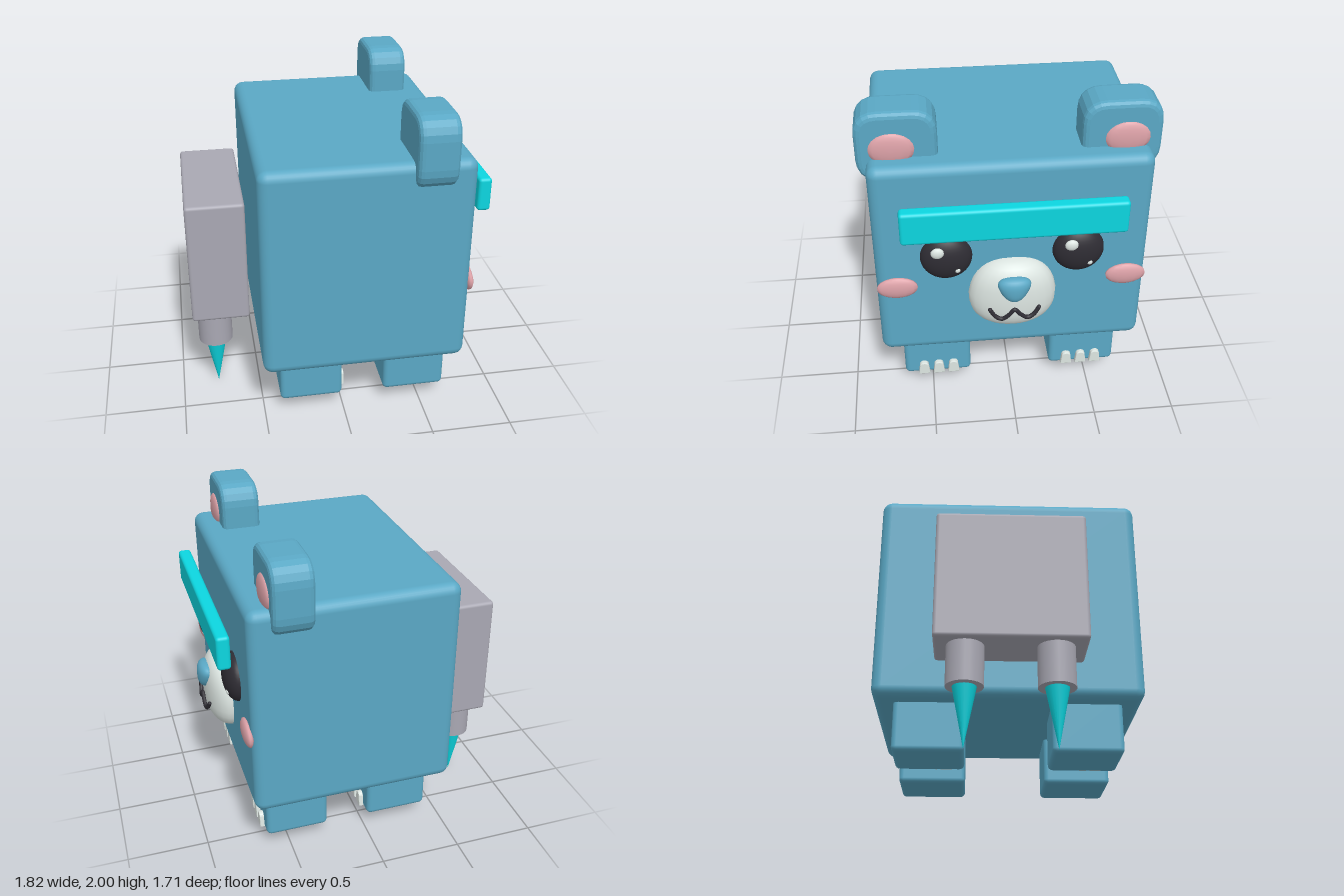
import * as THREE from 'three';
import { RoundedBoxGeometry } from 'three/addons/geometries/RoundedBoxGeometry.js';

const mat = (name, color) => {
  const m = new THREE.MeshStandardMaterial({ color });
  m.name = name;
  return m;
};

export function createModel() {
  const blue = mat('blue fur', 0x5aa8c5);
  const pink = mat('pink', 0xdda2a8);
  const black = mat('black', 0x2e2c33);
  const cream = mat('cream', 0xdde6e2);
  const gray = mat('gray metal', 0xa9a8b3);
  const cyan = mat('cyan glow', 0x0cd6e0);

  const root = new THREE.Group();
  root.name = 'cubeBear';

  const add = (name, geometry, material, x = 0, y = 0, z = 0) => {
    const mesh = new THREE.Mesh(geometry, material);
    mesh.name = name;
    mesh.position.set(x, y, z);
    root.add(mesh);
    return mesh;
  };
  // Rounded box from its minimum and maximum corners
  const box = (name, material, [x0, y0, z0], [x1, y1, z1], radius) =>
    add(name, new RoundedBoxGeometry(x1 - x0, y1 - y0, z1 - z0, 3, radius), material,
      (x0 + x1) / 2, (y0 + y1) / 2, (z0 + z1) / 2);
  const ellipsoid = (name, material, x, y, z, rx, ry, rz, seg = 16) =>
    add(name, new THREE.SphereGeometry(1, seg, Math.round(seg * 0.7)).scale(rx, ry, rz), material, x, y, z);
  // Squared-off sphere: powers below 1 push the surface outward
  const blob = (rx, ry, rz, power, rule) => {
    const g = new THREE.SphereGeometry(1, 24, 16);
    const p = g.attributes.position;
    const f = (v) => Math.sign(v) * Math.abs(v) ** power;
    for (let i = 0; i < p.count; i++) {
      const y = f(p.getY(i));
      const r = Math.hypot(p.getX(i), p.getZ(i));
      const ring = r > 1e-5 ? r ** power / r : 0;
      const w = rule(y);
      p.setXYZ(i, p.getX(i) * ring * rx, y * ry, p.getZ(i) * ring * rz * w);
    }
    g.computeVertexNormals();
    return g;
  };

  // Body
  box('body', blue, [-0.51, 0.4, -0.8], [0.735, 1.728, 0.8], 0.06);

  // Ear outline: rounded rectangle, extruded along x
  const earShape = new THREE.Shape();
  const w = 0.1925, h = 0.18, r = 0.1;
  earShape.moveTo(-w + r, -h);
  earShape.lineTo(w - r, -h).quadraticCurveTo(w, -h, w, -h + r);
  earShape.lineTo(w, h - r).quadraticCurveTo(w, h, w - r, h);
  earShape.lineTo(-w + r, h).quadraticCurveTo(-w, h, -w, h - r);
  earShape.lineTo(-w, -h + r).quadraticCurveTo(-w, -h, -w + r, -h);
  const earGeo = new THREE.ExtrudeGeometry(earShape, {
    depth: 0.17, bevelThickness: 0.035, bevelSize: 0.035, bevelSegments: 3, curveSegments: 5,
  }).translate(0, 0, -0.085).rotateY(Math.PI / 2);

  // Claw outline: narrow dome
  const clawShape = new THREE.Shape();
  clawShape.moveTo(-0.03, -0.04).lineTo(0.03, -0.04).lineTo(0.022, 0.025);
  clawShape.quadraticCurveTo(0.018, 0.04, 0, 0.04).quadraticCurveTo(-0.018, 0.04, -0.022, 0.025);
  const clawGeo = new THREE.ExtrudeGeometry(clawShape, {
    depth: 0.04, bevelThickness: 0.006, bevelSize: 0.006, bevelSegments: 2, curveSegments: 4,
  }).translate(0, 0, -0.02).rotateY(Math.PI / 2);

  for (const [side, s] of [['left', 1], ['right', -1]]) {
    // Ears
    add(side + 'Ear', earGeo, blue, 0.485, 1.785, s * 0.6275);
    ellipsoid(side + 'InnerEar', pink, 0.602, 1.78, s * 0.655, 0.03, 0.1, 0.13, 14);

    // Legs with three claws each
    for (const [end, x] of [['Front', 0.453], ['Back', -0.205]]) {
      add(side + end + 'Leg', new RoundedBoxGeometry(0.39, 0.36, 0.42, 3, 0.03), blue, x, 0.285, s * 0.465);
      for (let i = -1; i <= 1; i++) {
        add(side + end + 'Claw', clawGeo, cream, x + 0.196, 0.163, s * 0.46 + i * 0.094);
      }
    }

    // Eyes, each with two highlights on the same side
    const ez = s * 0.385;
    ellipsoid(side + 'Eye', black, 0.732, 1.125, ez, 0.083, 0.152, 0.152, 28);
    ellipsoid(side + 'EyeHighlight', cream, 0.798, 1.195, ez + 0.05, 0.02, 0.036, 0.04, 12);
    ellipsoid(side + 'EyeGlint', cream, 0.797, 1.063, ez - 0.061, 0.01, 0.017, 0.017, 10);

    // Cheeks
    ellipsoid(side + 'Cheek', pink, 0.743, 0.915, s * 0.678, 0.03, 0.073, 0.122, 14);

    // Jetpack nozzles and flames
    add(side + 'Nozzle', new THREE.CylinderGeometry(0.108, 0.108, 0.27, 24), gray, -0.77, 0.485, s * 0.255);
    add(side + 'Flame', new THREE.ConeGeometry(0.071, 0.36, 20).rotateX(Math.PI), cyan, -0.77, 0.18, s * 0.255);
  }

  // Muzzle: wide jaw, narrower top
  add('muzzle', blob(0.138, 0.238, 0.262, 0.75, (y) => 1 - 0.14 * Math.max(0, y)), cream, 0.732, 0.847, 0);
  // Nose: wide at the top, tapering downward
  add('nose', blob(0.055, 0.083, 0.113, 0.8, (y) => 0.78 + 0.3 * y), blue, 0.852, 0.942, 0);

  // Mouth
  const half = [[0.866, 0.805, 0.145], [0.875, 0.758, 0.112], [0.88, 0.742, 0.075], [0.882, 0.77, 0.035]];
  const points = [
    ...half,
    [0.882, 0.808, 0],
    ...half.slice().reverse().map(([x, y, z]) => [x, y, -z]),
  ].map((p) => new THREE.Vector3(...p));
  add('mouth', new THREE.TubeGeometry(new THREE.CatmullRomCurve3(points), 48, 0.013, 8), black);
  for (const end of [points[0], points[points.length - 1]]) {
    ellipsoid('mouthCorner', black, end.x, end.y, end.z, 0.013, 0.013, 0.013, 8);
  }

  // Visor bar floating before the brow
  box('visor', cyan, [0.797, 1.32, -0.637], [0.876, 1.528, 0.637], 0.02);

  // Jetpack
  box('jetpack', gray, [-0.91, 0.593, -0.435], [-0.555, 1.382, 0.435], 0.02);

  return root;
}
